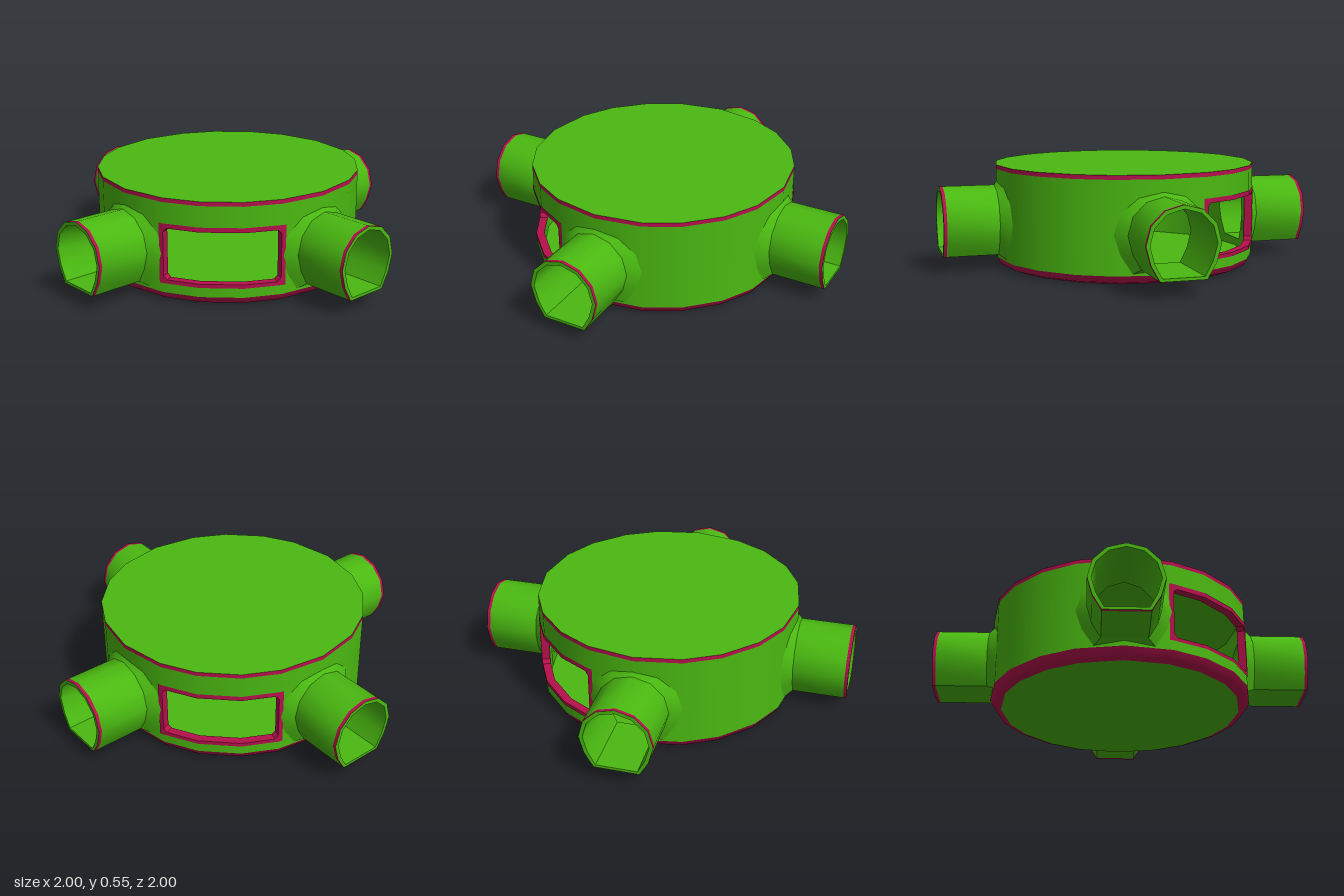
import * as THREE from 'three';
import { toCreasedNormals } from 'three/addons/utils/BufferGeometryUtils.js';

const green = new THREE.MeshStandardMaterial({ color: 0x4ab911, side: THREE.DoubleSide });
const red = new THREE.MeshStandardMaterial({ color: 0xb5104c, side: THREE.DoubleSide });

const R = 0.7, INNER = 0.66, MID = 0.255;
const FOLDS = [0, 20, 36, 54, 70, 90];
const SLOPE = (1 - Math.cos(Math.PI / 9)) / Math.sin(Math.PI / 9);
const rad = THREE.MathUtils.degToRad;

// Point on the many-sided drum; angle in degrees from +z towards +x
function drumPoint(angle, y, r) {
  const quarter = Math.floor(angle / 90 + 1e-9) * 90;
  const a = angle - quarter;
  let k = 0;
  while (k < 4 && a > FOLDS[k + 1]) k++;
  const a0 = rad(FOLDS[k]), a1 = rad(FOLDS[k + 1]), half = (a1 - a0) / 2;
  const d = r * Math.cos(half) / Math.cos(rad(a) - a0 - half);
  return new THREE.Vector3(d * Math.sin(rad(angle)), y, d * Math.cos(rad(angle)));
}

function mesh(name, geometry, material) {
  const m = new THREE.Mesh(geometry, material);
  m.name = name;
  return m;
}

// Skin closed rings of equal length
function loft(name, rings, material) {
  const n = rings[0].length, index = [];
  for (let i = 0; i < rings.length - 1; i++) {
    for (let j = 0; j < n; j++) {
      const a = i * n + j, b = i * n + (j + 1) % n;
      index.push(a, b, b + n, a, b + n, a + n);
    }
  }
  const g = new THREE.BufferGeometry().setFromPoints(rings.flat());
  g.setIndex(index);
  return mesh(name, toCreasedNormals(g, rad(40)), material);
}

// Curved wall from y0 to y1, leaving open the span lo..hi of each column [angle, lo, hi]
function wall(name, cols, r, y0, y1, material, inward = false) {
  const points = [], index = [];
  for (const [a, lo, hi] of cols) {
    for (const y of [y0, lo, hi, y1]) points.push(drumPoint(a, y, r));
  }
  for (let c = 0; c < cols.length - 1; c++) {
    for (const s of [0, 2]) {
      const a = c * 4 + s, b = a + 4;
      if (inward) index.push(a, b + 1, b, a, a + 1, b + 1);
      else index.push(a, b, b + 1, a, b + 1, a + 1);
    }
  }
  const g = new THREE.BufferGeometry().setFromPoints(points);
  const sign = inward ? -1 : 1;
  const normals = points.flatMap(p => {
    const l = sign / Math.hypot(p.x, p.z);
    return [p.x * l, 0, p.z * l];
  });
  g.setAttribute('normal', new THREE.Float32BufferAttribute(normals, 3));
  g.setIndex(index);
  return mesh(name, g, material);
}

// Window opening with clipped corners
const opening = [[20.5, 0.14, 0.37], [22, 0.12, 0.39], [36, 0.12, 0.39],
  [54, 0.12, 0.39], [68, 0.12, 0.39], [69.5, 0.14, 0.37]];
const windowCols = [[20.5, MID, MID], ...opening, [69.5, MID, MID]];

// Round opening behind a pipe: [x, lo, hi]
const holeHalf = [[0, 0.1, 0.42], [0.0825, 0.1, 0.398], [0.105, 0.1, 0.376],
  [0.143, 0.1725, 0.3375], [0.165, MID, MID]];

function wallColumns(r) {
  const cols = [];
  const shift = (list, by) => list.map(([a, lo, hi]) => [a + by, lo, hi]);
  for (let q = 0; q < 4; q++) {
    const half = holeHalf.map(([x, lo, hi]) =>
      [THREE.MathUtils.radToDeg(Math.atan2(x, r - SLOPE * x)), lo, hi]);
    const mirrored = half.slice(1).reverse().map(([a, lo, hi]) => [-a, lo, hi]);
    const side = q % 2 === 0 ? windowCols : [[36, MID, MID], [54, MID, MID]];
    cols.push(...shift([...mirrored, ...half, [20, MID, MID], ...side, [70, MID, MID]], q * 90));
  }
  cols.push([cols[0][0] + 360, cols[0][1], cols[0][2]]);
  return cols;
}

// Flat-bottomed pipe outline; z is a number or a rule of x
function pipeRing(rx, ry, bottomX, bottomY, z) {
  const ring = [];
  for (let i = 0; i < 11; i++) {
    const a = rad(-60 + i * 30);
    const end = i === 0 || i === 10;
    const x = end ? (i === 0 ? bottomX : -bottomX) : rx * Math.cos(a);
    const y = end ? bottomY : MID + ry * Math.sin(a);
    ring.push(new THREE.Vector3(x, y, typeof z === 'function' ? z(x) : z));
  }
  return ring;
}

function createPipe() {
  const pipe = new THREE.Group();
  pipe.name = 'pipe';
  const outer = z => pipeRing(0.185, 0.185, 0.115, 0.085, z);
  const inner = z => pipeRing(0.165, 0.165, 0.105, 0.1, z);
  const collar = pipeRing(0.24, 0.205, 0.15, 0.06, x => R - SLOPE * Math.abs(x));
  pipe.add(
    loft('pipeCollar', [collar, outer(0.712)], green),
    loft('pipeOuter', [outer(0.712), outer(0.982)], green),
    loft('pipeEndBand', [outer(0.982), outer(1)], red),
    loft('pipeRim', [outer(1), inner(1)], green),
    loft('pipeBore', [inner(1), inner(x => INNER - SLOPE * Math.abs(x))], green));
  return pipe;
}

function createWindow() {
  const win = new THREE.Group();
  win.name = 'window';
  const face = 0.704;
  const loop = r => [
    ...opening.map(([a, lo]) => drumPoint(a, lo, r)),
    ...opening.slice().reverse().map(([a, , hi]) => drumPoint(a, hi, r))];
  const frameCols = [[18.5, MID, MID], [20, MID, MID], ...windowCols, [70, MID, MID], [71.5, MID, MID]];
  win.add(
    wall('windowFrame', frameCols, face, 0.1, 0.415, red),
    loft('windowReveal', [loop(face), loop(INNER)], red));
  return win;
}

export function createModel() {
  const model = new THREE.Group();
  model.name = 'hub';

  const ring = (r, y) => {
    const pts = [];
    for (let q = 0; q < 4; q++) {
      for (const a of FOLDS.slice(0, 5)) pts.push(drumPoint(q * 90 + a, y, r));
    }
    return pts;
  };

  // Drum shell, inside and out
  model.add(
    loft('underside', [ring(0, 0), ring(0.64, 0)], green),
    loft('bottomTrim', [ring(0.64, 0), ring(0.68, 0.015), ring(R, 0.05)], red),
    wall('outerWall', wallColumns(R), R, 0.05, 0.523, green),
    loft('topTrim', [ring(R, 0.523), ring(R, 0.545)], red),
    loft('roof', [ring(R, 0.545), ring(0, 0.545)], green),
    wall('innerWall', wallColumns(INNER), INNER, 0.05, 0.52, green, true),
    loft('floor', [ring(INNER, 0.05), ring(0, 0.05)], green),
    loft('ceiling', [ring(0, 0.52), ring(INNER, 0.52)], green));

  // Four pipes and two opposite windows
  for (let q = 0; q < 4; q++) {
    const pipe = createPipe();
    pipe.rotation.y = q * Math.PI / 2;
    model.add(pipe);
    if (q % 2 === 0) {
      const win = createWindow();
      win.rotation.y = q * Math.PI / 2;
      model.add(win);
    }
  }
  return model;
}
